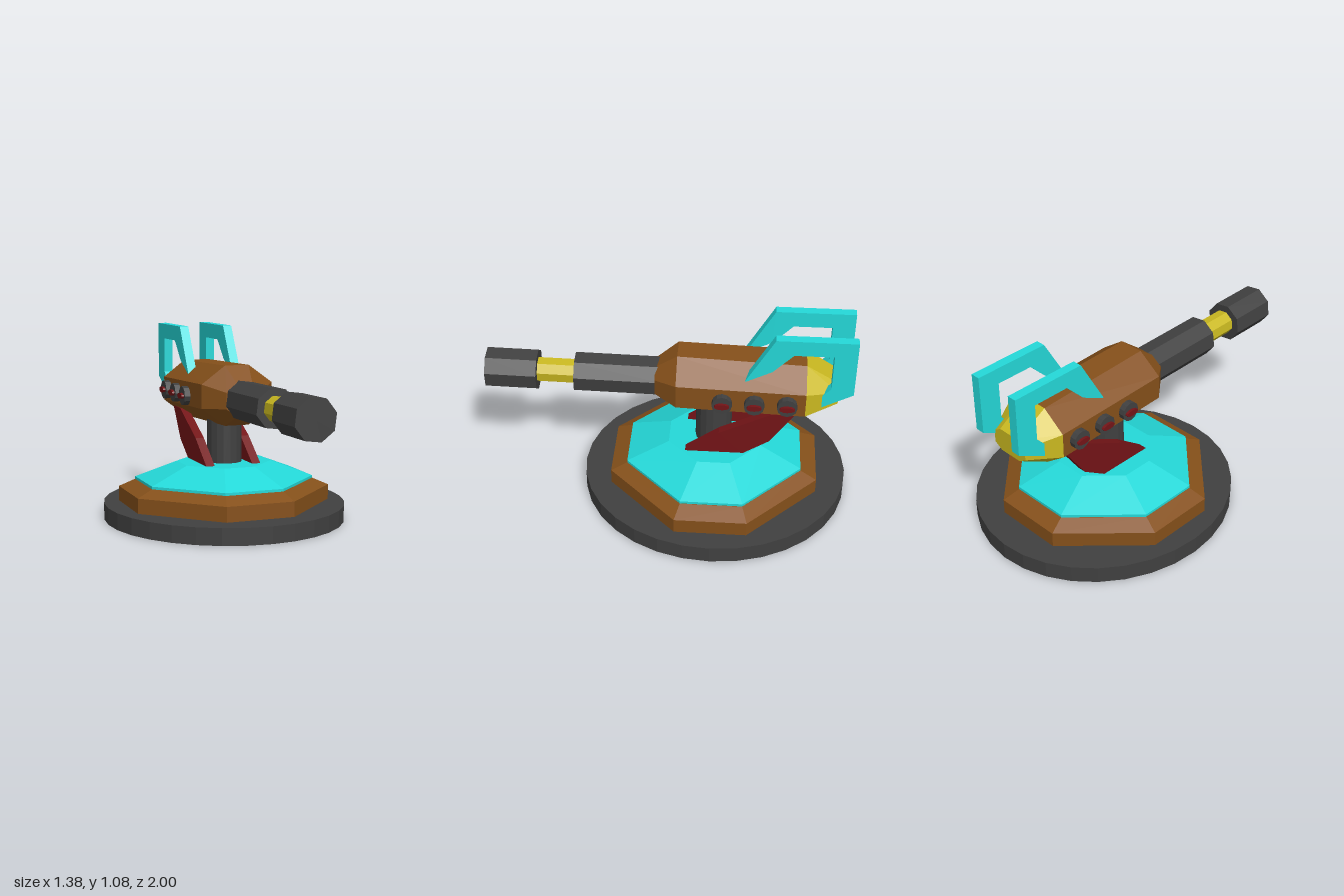
import * as THREE from 'three';

const material = (color) => new THREE.MeshStandardMaterial({ color, flatShading: true, side: THREE.DoubleSide });
const DARK = material(0x404040), BROWN = material(0x85501a), CYAN = material(0x24d8d8);
const RED = material(0x741417), YELLOW = material(0xc9b820);
const BASE_Z = -0.257;

// Eight-cornered ring: half width w, half height h, half lengths of the top and side edges.
function octagon(w, h, topEdge, sideEdge, z, cy = 0) {
  const quarter = [[w, sideEdge], [topEdge, h], [-topEdge, h], [-w, sideEdge]];
  const points = [...quarter, ...quarter.map(([x, y]) => [-x, -y])];
  return points.map(([x, y]) => new THREE.Vector3(x, y + cy, z));
}

// Skin between rings running toward +z, with both ends closed.
function loft(rings) {
  const pts = [];
  const n = rings[0].length;
  for (let r = 0; r < rings.length - 1; r++) {
    const a = rings[r], b = rings[r + 1];
    for (let i = 0; i < n; i++) {
      const j = (i + 1) % n;
      pts.push(a[i], a[j], b[j], a[i], b[j], b[i]);
    }
  }
  const first = rings[0], last = rings[rings.length - 1];
  for (let i = 1; i < n - 1; i++) {
    pts.push(first[0], first[i + 1], first[i], last[0], last[i], last[i + 1]);
  }
  const g = new THREE.BufferGeometry().setFromPoints(pts);
  g.computeVertexNormals();
  return g;
}

// Flat plate drawn as (z, y) corners and given a thickness along x.
function plate(corners, thickness) {
  const shape = new THREE.Shape(corners.map(([z, y]) => new THREE.Vector2(-z, y)));
  const g = new THREE.ExtrudeGeometry(shape, { depth: thickness, bevelEnabled: false });
  return g.translate(0, 0, -thickness / 2).rotateY(Math.PI / 2);
}

export function createModel() {
  const model = new THREE.Group();
  const add = (name, geometry, mat, x = 0, y = 0, z = 0) => {
    const mesh = new THREE.Mesh(geometry, mat);
    mesh.name = name;
    mesh.position.set(x, y, z);
    model.add(mesh);
    return mesh;
  };

  // Stepped base
  const disc = new THREE.CylinderGeometry(0.688, 0.688, 0.095, 32).scale(1, 1, 1.076);
  add('baseDisc', disc, DARK, 0, 0.0475, -0.26);
  const tier = (half, edge, y) => octagon(half, half, edge, edge, y);
  const lower = loft([tier(0.573, 0.195, 0.09), tier(0.573, 0.195, 0.18), tier(0.485, 0.168, 0.22)]);
  add('lowerTier', lower.rotateX(-Math.PI / 2), BROWN, 0, 0, BASE_Z);
  const upper = loft([tier(0.483, 0.168, 0.21), tier(0.483, 0.168, 0.235), tier(0.255, 0.09, 0.325)]);
  add('upperTier', upper.rotateX(-Math.PI / 2), CYAN, 0, 0, BASE_Z);
  add('pedestal', new THREE.CylinderGeometry(0.1, 0.1, 0.3, 16), DARK, 0, 0.45, -0.247);

  // Turret body, sloping slightly down to the rear
  const rearRing = octagon(0.205, 0.168, 0.075, 0.07, -0.735, 0.703);
  add('body', loft([
    rearRing,
    octagon(0.207, 0.168, 0.07, 0.068, -0.045, 0.726),
    octagon(0.107, 0.09, 0.045, 0.045, 0.075, 0.712),
  ]), BROWN);
  add('rearCap', loft([octagon(0.115, 0.065, 0.068, 0.035, -0.91, 0.697), rearRing]), YELLOW);

  // Barrel sections: [name, radius, back z, front z, centre y, material]
  const barrel = [
    ['barrel', 0.112, 0.03, 0.515, 0.714, DARK],
    ['barrelNeck', 0.07, 0.5, 0.73, 0.719, YELLOW],
    ['muzzle', 0.114, 0.72, 1, 0.721, DARK],
  ];
  for (const [name, radius, z0, z1, y, mat] of barrel) {
    const g = new THREE.CylinderGeometry(radius, radius, z1 - z0, 8);
    g.rotateX(Math.PI / 2).rotateZ(THREE.MathUtils.degToRad(15));
    const part = add(name, g, mat, 0, y, (z0 + z1) / 2);
    part.rotation.x = -0.015;
  }

  // Parts repeated on both sides
  const handle = plate([
    [-0.405, 0.81], [-0.56, 1.083], [-0.985, 1.083], [-0.985, 0.755], [-0.8, 0.655],
    [-0.8, 0.72], [-0.865, 0.79], [-0.865, 0.995], [-0.657, 0.995], [-0.55, 0.885],
  ], 0.052);
  const strut = plate([
    [-0.09, 0.32], [-0.28, 0.46], [-0.556, 0.6], [-0.685, 0.605], [-0.556, 0.417], [-0.41, 0.32],
  ], 0.05);
  const knob = new THREE.CylinderGeometry(0.054, 0.054, 0.06, 12).rotateZ(Math.PI / 2);
  const lens = new THREE.CylinderGeometry(0.04, 0.04, 0.06, 12).rotateZ(Math.PI / 2).scale(1, 0.42, 1);
  for (const side of [1, -1]) {
    const prefix = side > 0 ? 'left' : 'right';
    add(prefix + 'Handle', handle, CYAN, side * 0.135);
    add(prefix + 'Strut', strut, RED, side * 0.138);
    [-0.292, -0.463, -0.637].forEach((z, i) => {
      add(`${prefix}Knob${i + 1}`, knob, DARK, side * 0.21, 0.707, z);
      add(`${prefix}KnobCore${i + 1}`, lens, RED, side * 0.225, 0.707, z);
    });
  }
  return model;
}
